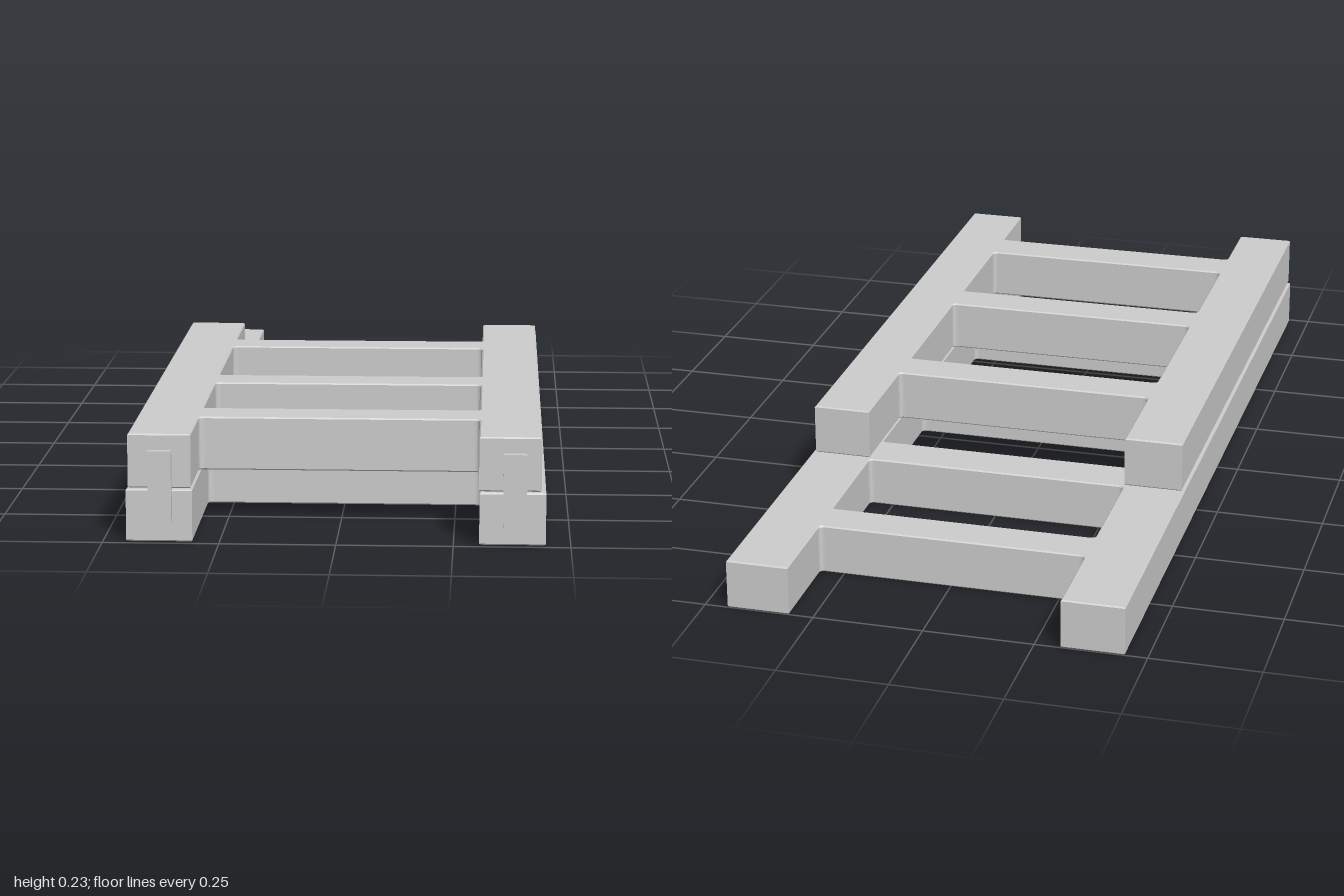
import * as THREE from 'three';

const material = new THREE.MeshStandardMaterial({ color: 0xcccccc });
const FILLET = 0.012; // small rounding where rungs meet rails
const BEVEL = 0.003;

// Trace a closed path through [x, y, radius] points, rounding those with a radius
function trace(path, points) {
  const n = points.length;
  points.forEach(([x, y, r = 0], i) => {
    const towards = ([px, py]) => {
      const d = Math.hypot(px - x, py - y);
      return [x + ((px - x) / d) * r, y + ((py - y) / d) * r];
    };
    const a = towards(points[(i + n - 1) % n]);
    const b = towards(points[(i + 1) % n]);
    if (i === 0) path.moveTo(...a);
    else path.lineTo(...a);
    if (r > 0) path.quadraticCurveTo(x, y, ...b);
  });
  path.closePath();
  return path;
}

// One-piece ladder: rails open at both ends, rungs are [zBack, zFront] from back to front
function ladder({ name, outer, inner, back, front, bottom, top, rungs }) {
  const [ol, or] = outer;
  const [il, ir] = inner;
  const firstZ = rungs[0][0];
  const lastZ = rungs[rungs.length - 1][1];
  const backCorner = firstZ - back > 0.02 ? FILLET : 0;

  // Plan outline, drawn with shape y = -z
  const outline = [[ol, -front], [il, -front], [il, -lastZ, FILLET], [ir, -lastZ, FILLET], [ir, -front], [or, -front], [or, -back]];
  outline.push([ir, -back], [ir, -firstZ, backCorner], [il, -firstZ, backCorner], [il, -back], [ol, -back]);
  const shape = trace(new THREE.Shape(), outline);

  // Openings between neighbouring rungs
  for (let i = 0; i < rungs.length - 1; i++) {
    const z0 = -rungs[i][1];
    const z1 = -rungs[i + 1][0];
    shape.holes.push(trace(new THREE.Path(), [
      [il, z0, FILLET], [ir, z0, FILLET], [ir, z1, FILLET], [il, z1, FILLET],
    ]));
  }

  const geometry = new THREE.ExtrudeGeometry(shape, {
    depth: top - bottom - 2 * BEVEL,
    bevelEnabled: true,
    bevelThickness: BEVEL,
    bevelSize: BEVEL,
    bevelOffset: -BEVEL,
    bevelSegments: 1,
    curveSegments: 4,
  });
  geometry.rotateX(-Math.PI / 2);
  geometry.translate(0, bottom + BEVEL, 0);
  const mesh = new THREE.Mesh(geometry, material);
  mesh.name = name;
  return mesh;
}

export function createModel() {
  const model = new THREE.Group();
  model.name = 'extensionLadder';

  // Long section lying on the ground
  model.add(ladder({
    name: 'lowerLadder',
    outer: [-0.45, 0.447], inner: [-0.308, 0.305],
    back: -1, front: 0.985, bottom: 0, top: 0.114,
    rungs: [[-0.78, -0.685], [-0.405, -0.3], [0.03, 0.135], [0.515, 0.62]],
  }));

  // Short section stacked on top
  model.add(ladder({
    name: 'upperLadder',
    outer: [-0.445, 0.437], inner: [-0.31, 0.304],
    back: -0.405, front: 0.985, bottom: 0.117, top: 0.235,
    rungs: [[-0.16, -0.065], [0.31, 0.405], [0.7, 0.8]],
  }));

  // Plates on the front ends joining the two sections
  for (const [name, x] of [['rightEndPlate', -0.376], ['leftEndPlate', 0.381]]) {
    const plate = new THREE.Mesh(new THREE.BoxGeometry(0.05, 0.158, 0.02), material);
    plate.name = name;
    plate.position.set(x, 0.121, 0.99);
    model.add(plate);
  }
  return model;
}
